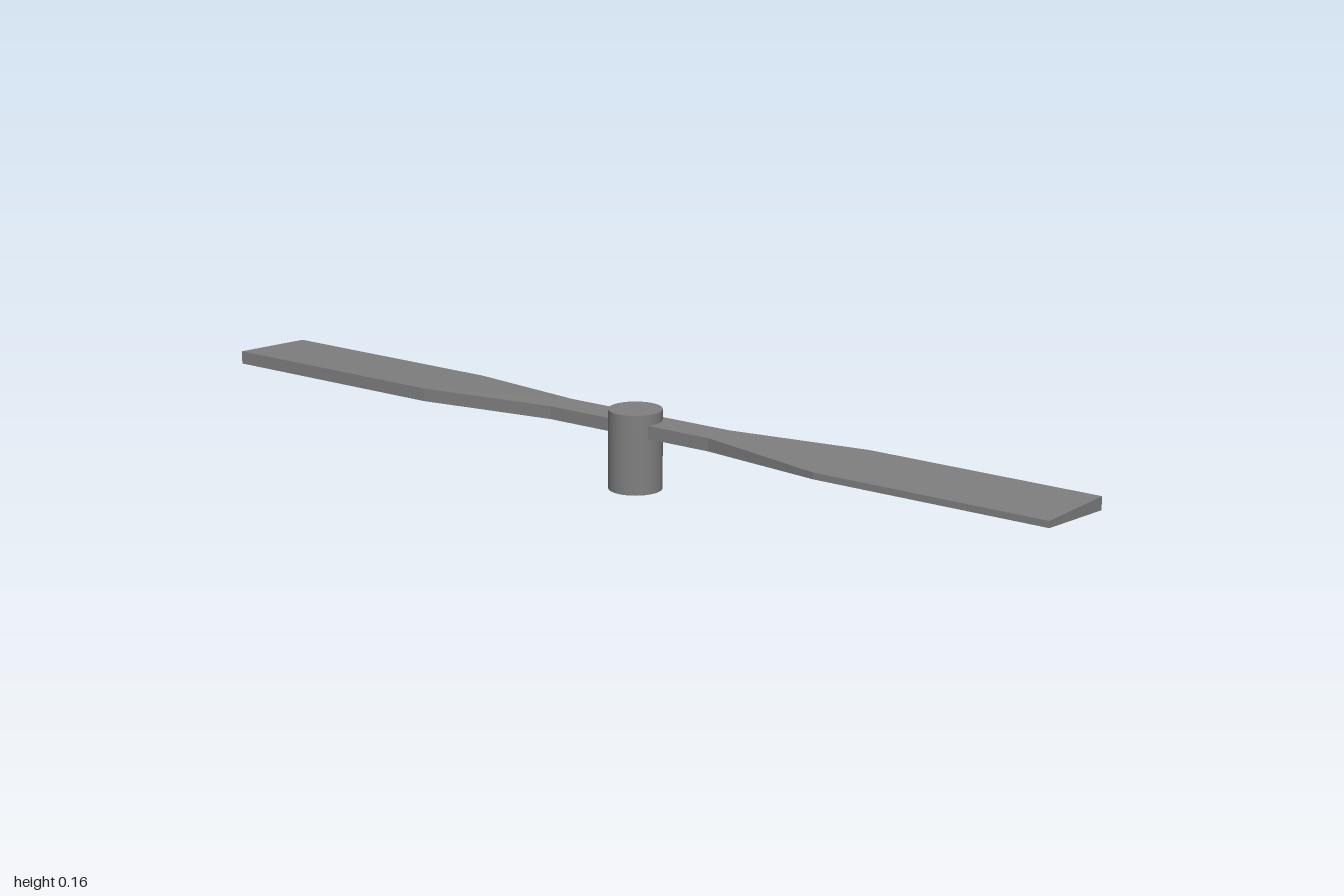
import * as THREE from 'three';

const TOP = 0.142, BOTTOM = 0.115, EDGE = 0.1285;

// Cross-section corners: top left, bottom left, bottom right, top right (by x).
function section(z, x0, x1, bottomLeft = BOTTOM, topRight = TOP) {
  return [[x0, TOP, z], [x0, bottomLeft, z], [x1, BOTTOM, z], [x1, topRight, z]];
}

// Joins four-cornered sections into a closed solid, running from +z to -z.
function loft(sections) {
  const points = [];
  const quad = (a, b, c, d) => points.push(...a, ...b, ...c, ...a, ...c, ...d);
  for (let i = 0; i < sections.length - 1; i++) {
    const a = sections[i], b = sections[i + 1];
    for (let k = 0; k < 4; k++) {
      const n = (k + 1) % 4;
      quad(a[k], b[k], b[n], a[n]);
    }
  }
  quad(...sections[0]);
  quad(...[...sections[sections.length - 1]].reverse());
  const geometry = new THREE.BufferGeometry();
  geometry.setAttribute('position', new THREE.Float32BufferAttribute(points, 3));
  geometry.computeVertexNormals();
  return geometry;
}

export function createModel() {
  const group = new THREE.Group();
  group.name = 'rotor';
  const material = new THREE.MeshStandardMaterial({ color: 0x808080 });

  // Round hub, slightly off centre
  const hub = new THREE.Mesh(new THREE.CylinderGeometry(0.0545, 0.0545, 0.164, 48), material);
  hub.name = 'hub';
  hub.position.set(-0.0115, 0.082, 0);
  group.add(hub);

  // Two blades joined by a bar; each blade thins towards one edge,
  // the front one from below and the rear one from above
  const blades = new THREE.Mesh(loft([
    section(1, -0.108, 0.083, EDGE),
    section(0.49, -0.108, 0.083, EDGE),
    section(0.195, -0.035, 0.035),
    section(-0.195, -0.035, 0.035),
    section(-0.49, -0.083, 0.108, BOTTOM, EDGE),
    section(-1, -0.083, 0.108, BOTTOM, EDGE),
  ]), material);
  blades.name = 'blades';
  group.add(blades);

  return group;
}
